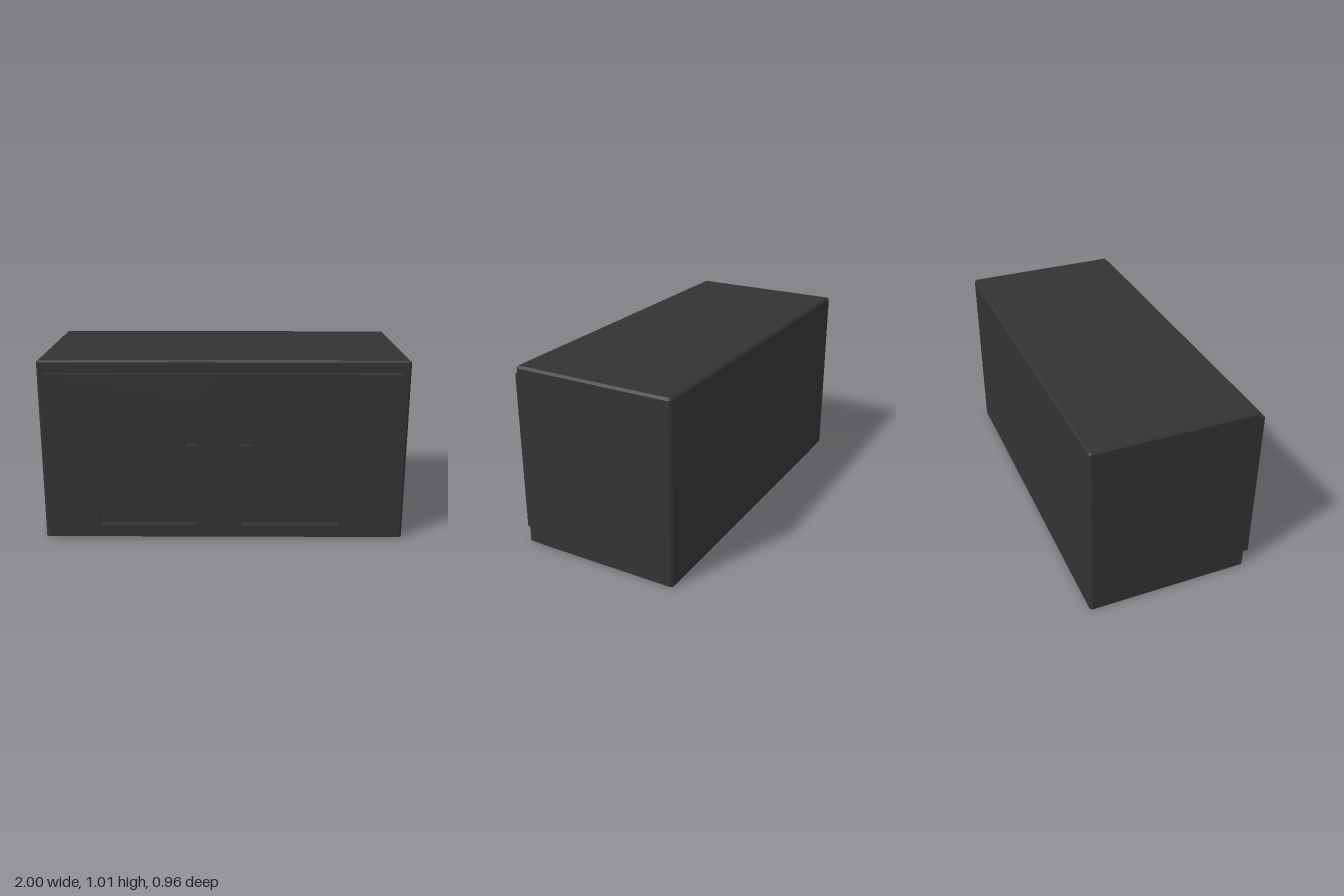
import * as THREE from 'three';

const BEVEL = 0.012;
const HALF_W = 1, HEIGHT = 1.012, BACK = -0.478, FRONT = 0.428, DOOR_FRONT = 0.478;

// Thin bevelled shell, open underneath, made from stacked eight-point rings
function shellGeometry() {
  const b = BEVEL, x = HALF_W;
  const outer = [
    [x - b, FRONT], [x, FRONT - b], [x, BACK + b], [x - b, BACK],
    [-x + b, BACK], [-x, BACK + b], [-x, FRONT - b], [-x + b, FRONT],
  ];
  // Each inset corner is shared by the two ends of its vertical bevel
  const inner = [
    [x - b, FRONT - b], [x - b, FRONT - b], [x - b, BACK + b], [x - b, BACK + b],
    [-x + b, BACK + b], [-x + b, BACK + b], [-x + b, FRONT - b], [-x + b, FRONT - b],
  ];
  const rings = [[outer, 0], [outer, HEIGHT - b], [inner, HEIGHT]]
    .map(([pts, y]) => pts.map(([px, pz]) => new THREE.Vector3(px, y, pz)));
  const points = [];
  for (let r = 0; r < 2; r++) {
    for (let i = 0; i < 8; i++) {
      const j = (i + 1) % 8;
      const [a, c, d, e] = [rings[r][i], rings[r][j], rings[r + 1][j], rings[r + 1][i]];
      points.push(a, c, d);
      if (!d.equals(e)) points.push(a, d, e);
    }
  }
  const top = rings[2];
  points.push(top[0], top[2], top[4], top[0], top[4], top[6]);
  const geometry = new THREE.BufferGeometry().setFromPoints(points);
  geometry.computeVertexNormals();
  return geometry;
}

function rectangle(path, [x0, x1, y0, y1]) {
  path.moveTo(x0, y0);
  path.lineTo(x1, y0);
  path.lineTo(x1, y1);
  path.lineTo(x0, y1);
  path.closePath();
  return path;
}

// Door slab with handle slots cut through to the cabinet front
function doorGeometry(outline, slots) {
  const shape = rectangle(new THREE.Shape(), outline);
  for (const slot of slots) shape.holes.push(rectangle(new THREE.Path(), slot));
  const base = FRONT + 0.001;
  return new THREE.ExtrudeGeometry(shape, { depth: DOOR_FRONT - base, bevelEnabled: false })
    .translate(0, 0, base);
}

export function createModel() {
  const group = new THREE.Group();
  group.name = 'wallCabinet';

  const charcoal = new THREE.MeshStandardMaterial({ color: 0x333333, side: THREE.DoubleSide });
  charcoal.name = 'charcoal';

  const add = (name, geometry) => {
    const mesh = new THREE.Mesh(geometry, charcoal);
    mesh.name = name;
    group.add(mesh);
  };

  add('cabinetShell', shellGeometry());

  // Each door has an upright grip slot and a long slot along the bottom
  add('rightDoor', doorGeometry([-0.96, -0.03, 0.05, 0.945],
    [[-0.205, -0.148, 0.55, 0.82], [-0.69, -0.15, 0.09, 0.155]]));
  add('leftDoor', doorGeometry([-0.018, 0.947, 0.05, 0.945],
    [[0.094, 0.149, 0.55, 0.82], [0.1, 0.641, 0.09, 0.155]]));

  return group;
}
